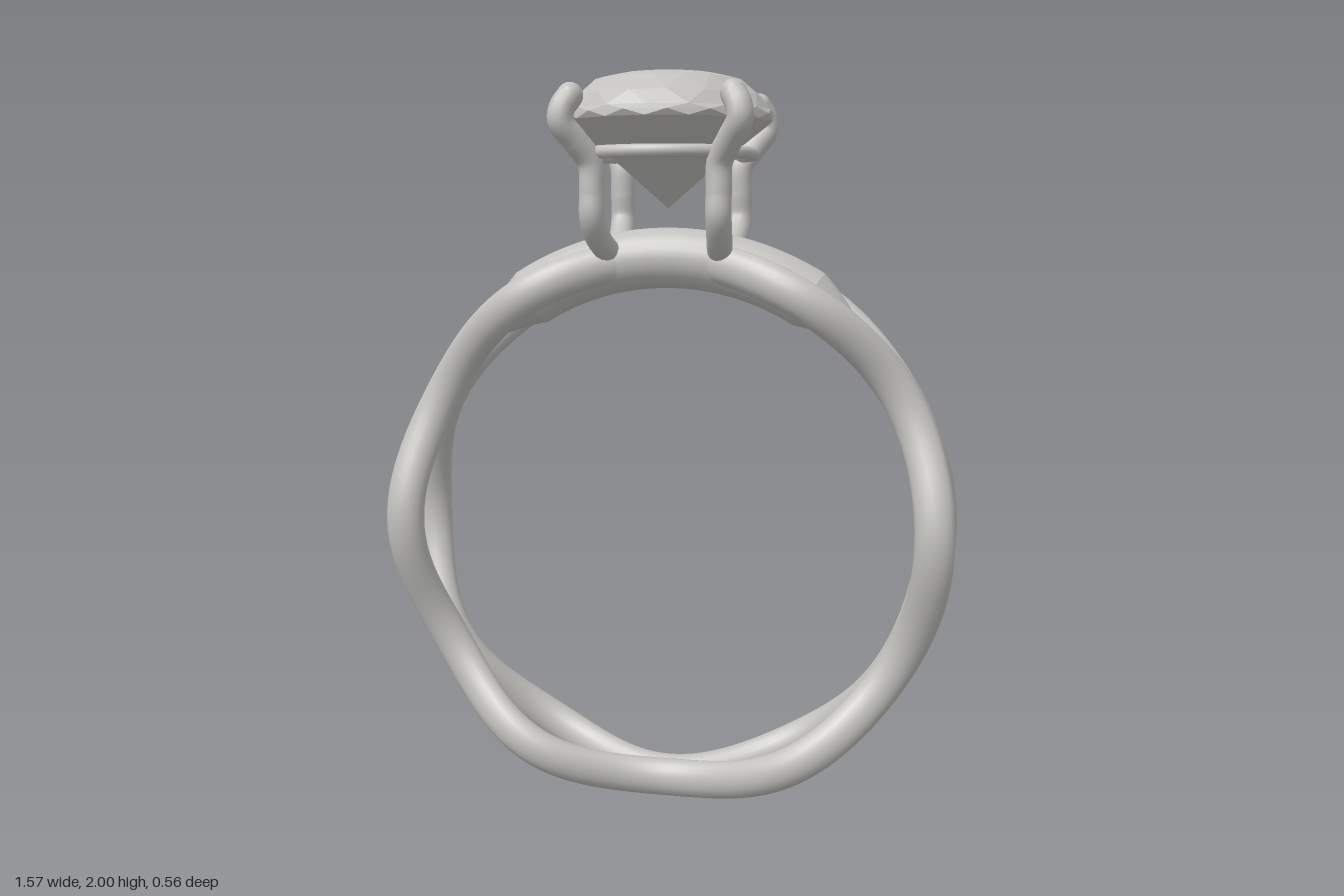
import * as THREE from 'three';
import { mergeVertices } from 'three/addons/utils/BufferGeometryUtils.js';

const RING_Y = 0.785, RING_R = 0.733;
const rad = THREE.MathUtils.degToRad;

// Sweeps an ellipse around the finger circle; shape(t) gives [radial half, z half, z centre]
function sweepArc(from, to, steps, shape, sides = 20) {
  const pos = [], index = [];
  for (let i = 0; i <= steps; i++) {
    const t = from + (to - from) * i / steps;
    const [a, b, z] = shape(t);
    for (let j = 0; j <= sides; j++) {
      const v = j / sides * Math.PI * 2;
      const r = RING_R + a * Math.cos(v);
      pos.push(r * Math.cos(t), RING_Y + r * Math.sin(t), z + b * Math.sin(v));
      if (i < steps && j < sides) {
        const p = i * (sides + 1) + j, q = p + sides + 1;
        index.push(p, q, q + 1, p, q + 1, p + 1);
      }
    }
  }
  const g = new THREE.BufferGeometry();
  g.setAttribute('position', new THREE.Float32BufferAttribute(pos, 3));
  g.setIndex(index);
  const merged = mergeVertices(g, 1e-5);
  merged.computeVertexNormals();
  return merged;
}

// Flat facets between rings [radius, y, half-step turn], listed from top to bottom
function facetedStone(rings, n) {
  const pos = [];
  const point = (k, j) => {
    const [r, y, turn] = rings[k];
    const a = (j + turn) / n * Math.PI * 2;
    return [r * Math.sin(a), y, r * Math.cos(a)];
  };
  for (let k = 0; k < rings.length - 1; k++) {
    const s = rings[k][2] > rings[k + 1][2] ? 1 : 0;
    for (let j = 0; j < n; j++) {
      const a = point(k, j), b = point(k, j + 1);
      const c = point(k + 1, j), d = point(k + 1, j + 1);
      if (s) pos.push(...a, ...c, ...d, ...a, ...d, ...b);
      else pos.push(...a, ...c, ...b, ...b, ...c, ...d);
    }
  }
  const g = new THREE.BufferGeometry();
  g.setAttribute('position', new THREE.Float32BufferAttribute(pos, 3));
  g.computeVertexNormals();
  return g;
}

export function createModel() {
  const model = new THREE.Group();
  model.name = 'ring';
  const silver = new THREE.MeshStandardMaterial({ color: 0xc2c1be });
  silver.name = 'silver';
  const add = (name, geometry, parent = model) => {
    const mesh = new THREE.Mesh(geometry, silver);
    mesh.name = name;
    parent.add(mesh);
    return mesh;
  };

  // Two wavy strands that meet every sixty degrees
  for (const side of [1, -1]) {
    add(side > 0 ? 'frontStrand' : 'backStrand', sweepArc(0, Math.PI * 2, 192,
      t => [0.053, 0.042, side * (0.064 + 0.046 * Math.cos(6 * t))]));
  }

  // Thick bridge under the stone, with a pointed taper at each end
  const half = rad(31.5), tip = rad(50), top = Math.PI / 2;
  add('bridge', sweepArc(top - half, top + half, 32, () => [0.081, 0.083, 0]));
  for (const side of [1, -1]) {
    const from = side > 0 ? top - tip : top + half;
    const to = side > 0 ? top - half : top + tip;
    add(side > 0 ? 'leftTaper' : 'rightTaper', sweepArc(from, to, 10, t => {
      const k = Math.max(0.002, (tip - Math.abs(t - top)) / (tip - half));
      return [0.081 * k, 0.083 * k, 0];
    }));
  }

  // Cut stone: table, crown, girdle and pavilion
  add('stone', facetedStone([
    [0.0001, 2, 0.5], [0.128, 2, 0.5], [0.195, 1.985, 0], [0.248, 1.942, 0.5],
    [0.275, 1.905, 0], [0.283, 1.892, 0.5], [0.28, 1.876, 0],
    [0.205, 1.82, 0.5], [0.13, 1.762, 0], [0.0001, 1.65, 0],
  ], 16));

  // Wire collar below the girdle
  const collar = add('collar', new THREE.TorusGeometry(0.228, 0.017, 12, 64));
  collar.rotation.x = Math.PI / 2;
  collar.position.y = 1.792;

  // Four claws from the bridge over the edge of the stone
  const path = [
    [0.15, 1.53, 0.05], [0.162, 1.572, 0.125], [0.167, 1.625, 0.167], [0.167, 1.69, 0.167],
    [0.17, 1.765, 0.17], [0.202, 1.82, 0.202], [0.231, 1.866, 0.231],
    [0.228, 1.9, 0.228], [0.211, 1.932, 0.211],
  ];
  for (const sx of [1, -1]) for (const sz of [1, -1]) {
    const claw = new THREE.Group();
    claw.name = (sz > 0 ? 'front' : 'back') + (sx > 0 ? 'Left' : 'Right') + 'Claw';
    model.add(claw);
    const points = path.map(([x, y, z]) => new THREE.Vector3(sx * x, y, sz * z));
    add('clawWire', new THREE.TubeGeometry(new THREE.CatmullRomCurve3(points), 48, 0.034, 14), claw);
    for (const end of [points[0], points[points.length - 1]]) {
      add('clawEnd', new THREE.SphereGeometry(0.034, 16, 12), claw).position.copy(end);
    }
  }
  return model;
}
